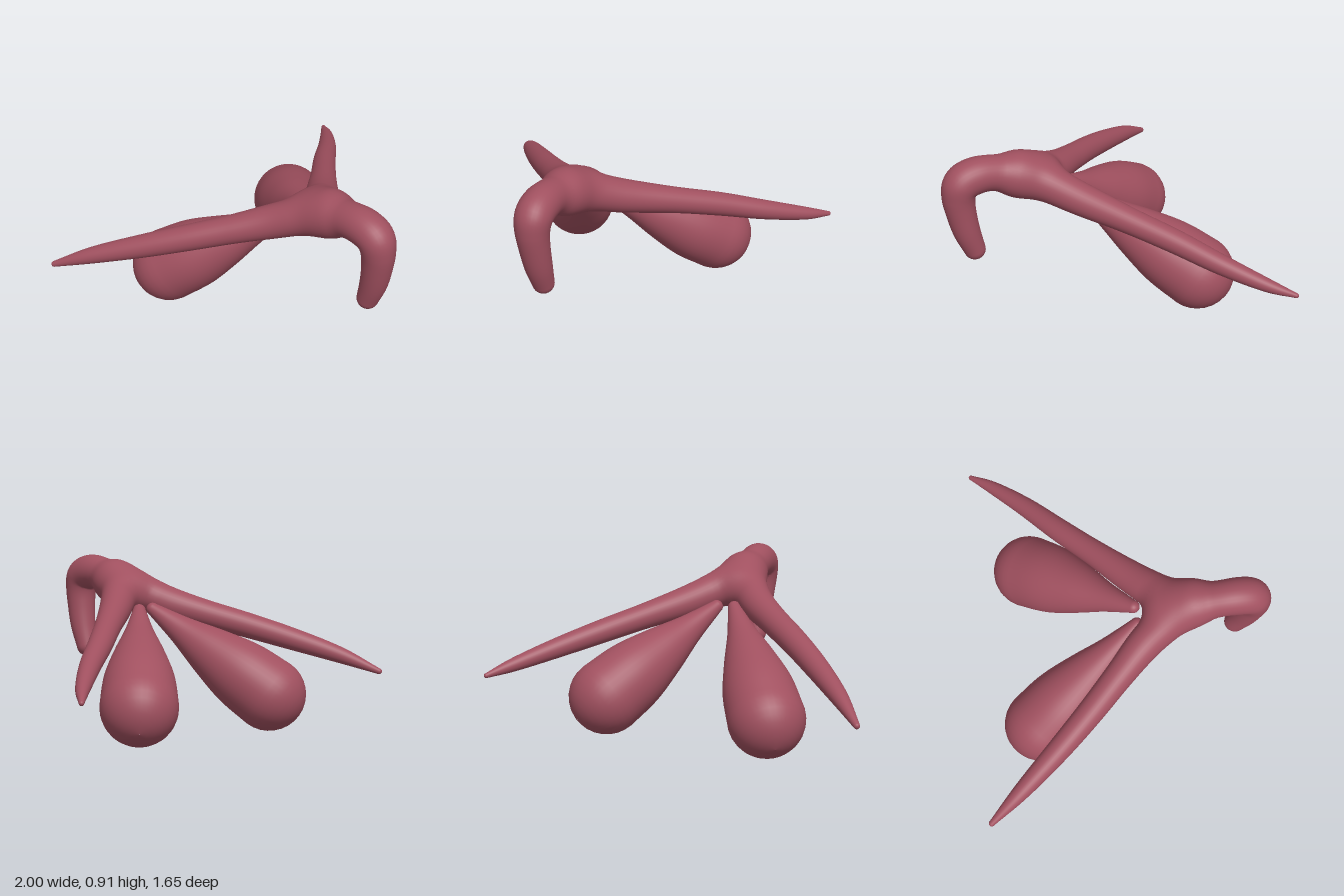
import * as THREE from 'three';

// A strand is a curved path whose points are [x, y, z, radius], sampled evenly.
function makeStrand(points, steps = 48) {
  const path = new THREE.CatmullRomCurve3(points.map(p => new THREE.Vector3(p[0], p[1], p[2])), false, 'catmullrom');
  const width = new THREE.CatmullRomCurve3(points.map(p => new THREE.Vector3(p[3], 0, 0)), false, 'catmullrom');
  const centres = [], radii = [], tangents = [];
  for (let i = 0; i <= steps; i++) {
    centres.push(path.getPoint(i / steps));
    radii.push(width.getPoint(i / steps).x);
    tangents.push(path.getTangent(i / steps));
  }
  return { centres, radii, tangents };
}

// Distance from a point to the surface of one strand.
const ab = new THREE.Vector3(), ap = new THREE.Vector3();
function strandDistance(p, { centres, radii }) {
  let best = Infinity;
  for (let i = 0; i < centres.length - 1; i++) {
    ab.subVectors(centres[i + 1], centres[i]);
    ap.subVectors(p, centres[i]);
    const t = THREE.MathUtils.clamp(ap.dot(ab) / ab.lengthSq(), 0, 1);
    const d = ap.addScaledVector(ab, -t).length() - THREE.MathUtils.lerp(radii[i], radii[i + 1], t);
    best = Math.min(best, d);
  }
  return best;
}

// Smooth union of several strands, so that joints get a soft fillet.
function blendDistance(p, strands, k = 0.07) {
  return strands.map(s => strandDistance(p, s)).reduce((a, b) => {
    const h = Math.max(k - Math.abs(a - b), 0) / k;
    return Math.min(a, b) - h * h * k / 4;
  });
}

function gradient(p, strands) {
  const g = new THREE.Vector3(), e = 0.004;
  for (const axis of ['x', 'y', 'z']) {
    const q = p.clone();
    q[axis] += e;
    const high = blendDistance(q, strands);
    q[axis] -= 2 * e;
    g[axis] = (high - blendDistance(q, strands)) / (2 * e);
  }
  return g;
}

// Skin a strand with rings and rounded ends; optionally fit it to the blend.
function skin(strand, blend, sides = 32) {
  const { centres, radii, tangents } = strand;
  const last = centres.length - 1, capRings = 8;
  const rings = [];
  const cap = (i, sign, a) => rings.push({
    i, r: radii[i] * Math.cos(a),
    c: centres[i].clone().addScaledVector(tangents[i], sign * radii[i] * Math.sin(a)),
  });
  for (let j = capRings; j > 0; j--) cap(0, -1, j / capRings * 1.565);
  for (let i = 0; i <= last; i++) rings.push({ i, r: radii[i], c: centres[i] });
  for (let j = 1; j <= capRings; j++) cap(last, 1, j / capRings * 1.565);

  // carry one side direction along the path so that the skin does not twist
  const u = new THREE.Vector3(1, 0.2, 0.1), v = new THREE.Vector3();
  const positions = [], index = [];
  rings.forEach(({ i, r, c }, row) => {
    u.addScaledVector(tangents[i], -u.dot(tangents[i])).normalize();
    v.crossVectors(tangents[i], u);
    for (let s = 0; s < sides; s++) {
      const a = s / sides * Math.PI * 2;
      const p = c.clone().addScaledVector(u, r * Math.cos(a)).addScaledVector(v, r * Math.sin(a));
      positions.push(p);
      if (row === 0) continue;
      const n = (s + 1) % sides, lo = (row - 1) * sides, hi = row * sides;
      index.push(lo + s, lo + n, hi + s, lo + n, hi + n, hi + s);
    }
  });

  const geometry = new THREE.BufferGeometry();
  geometry.setIndex(index);
  if (blend) {
    for (const p of positions) {
      for (let step = 0; step < 3; step++) {
        const d = blendDistance(p, blend);
        if (d < -0.05) break; // buried inside a neighbour
        const g = gradient(p, blend);
        p.addScaledVector(g, -d / Math.max(g.lengthSq(), 0.3));
      }
    }
  }
  geometry.setFromPoints(positions);
  geometry.computeVertexNormals();
  if (blend) {
    const normal = geometry.attributes.normal;
    positions.forEach((p, i) => {
      if (Math.abs(blendDistance(p, blend)) > 0.02) return;
      const g = gradient(p, blend).normalize();
      normal.setXYZ(i, g.x, g.y, g.z);
    });
  }
  return geometry;
}

export function createModel() {
  const model = new THREE.Group();
  const rose = new THREE.MeshStandardMaterial({ color: 0xa0505f });
  rose.name = 'dusty rose';
  const add = (name, geometry) => {
    const mesh = new THREE.Mesh(geometry, rose);
    mesh.name = name;
    model.add(mesh);
  };

  // hooked central shaft, from its hanging tip back to the fork
  const shaft = makeStrand([
    [-0.14, 0.378, 0.672, 0.058], [-0.145, 0.5, 0.71, 0.072], [-0.152, 0.62, 0.732, 0.08],
    [-0.157, 0.72, 0.738, 0.089], [-0.157, 0.785, 0.715, 0.097], [-0.155, 0.812, 0.645, 0.098],
    [-0.15, 0.808, 0.55, 0.095], [-0.135, 0.77, 0.4, 0.102], [-0.12, 0.73, 0.27, 0.1],
  ]);
  // two long tapering arms that spread backwards from the fork
  const leftArm = makeStrand([
    [-0.115, 0.77, 0.4, 0.1], [-0.055, 0.73, 0.29, 0.1], [0.09, 0.667, 0.155, 0.088],
    [0.3, 0.6, -0.02, 0.07], [0.5, 0.535, -0.185, 0.063], [0.7, 0.465, -0.34, 0.053],
    [0.88, 0.4, -0.5, 0.036], [0.985, 0.362, -0.615, 0.013],
  ]);
  const rightArm = makeStrand([
    [-0.145, 0.77, 0.4, 0.1], [-0.19, 0.73, 0.28, 0.1], [-0.27, 0.67, 0.14, 0.091],
    [-0.4, 0.612, -0.02, 0.077], [-0.55, 0.55, -0.2, 0.07], [-0.7, 0.48, -0.395, 0.062],
    [-0.86, 0.395, -0.62, 0.045], [-0.982, 0.31, -0.805, 0.016],
  ]);
  const frame = [shaft, leftArm, rightArm];
  add('shaft', skin(shaft, frame));
  add('leftArm', skin(leftArm, frame));
  add('rightArm', skin(rightArm, frame));

  // teardrop bulbs hanging between the arms
  const bulb = (name, apex, centre) => {
    const widths = [0.035, 0.08, 0.138, 0.185, 0.2];
    const points = widths.map((r, i) => {
      const t = i / (widths.length - 1);
      return [0, 1, 2].map(k => THREE.MathUtils.lerp(apex[k], centre[k], t)).concat(r);
    });
    add(name, skin(makeStrand(points, 24), null, 40));
  };
  bulb('leftBulb', [-0.05, 0.64, 0.12], [0.41, 0.232, -0.38]);
  bulb('rightBulb', [-0.15, 0.64, 0.12], [-0.47, 0.202, -0.46]);

  return model;
}
